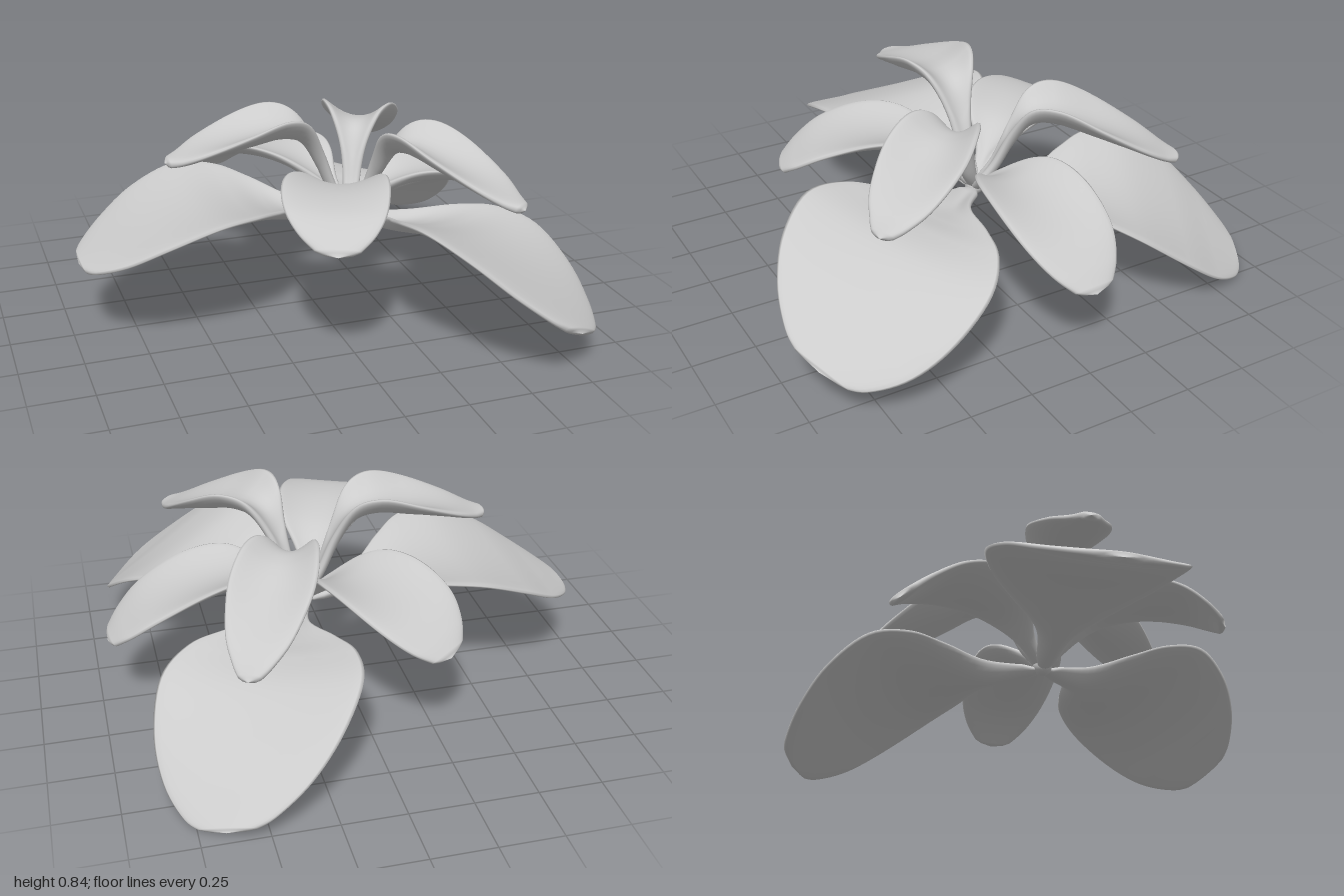
import * as THREE from 'three';
import { ParametricGeometry } from 'three/addons/geometries/ParametricGeometry.js';

const material = new THREE.MeshStandardMaterial({ color: 0xcccccc, side: THREE.DoubleSide });
const heart = new THREE.Vector3(0.16, 0, 0); // point where all petals meet

// Midrib of each petal kind: [distance from the heart, height, half width]; cup lifts both edges
const profile = (rows) => new THREE.CatmullRomCurve3(rows.map((p) => new THREE.Vector3(...p)), false, 'catmullrom', 0.5);
const fall = {
  cup: 0.1,
  reach: 1.1,
  rib: profile([[0, 0.37, 0.03], [0.22, 0.4, 0.08], [0.36, 0.44, 0.22], [0.48, 0.475, 0.33],
    [0.64, 0.49, 0.39], [0.82, 0.445, 0.36], [0.96, 0.38, 0.28], [1.06, 0.33, 0.17], [1.1, 0.31, 0.08]]),
};
const crest = {
  cup: 0.13,
  reach: 0.78,
  rib: profile([[0, 0.38, 0.03], [0.07, 0.48, 0.03], [0.13, 0.61, 0.05], [0.2, 0.72, 0.1],
    [0.3, 0.755, 0.145], [0.45, 0.74, 0.165], [0.62, 0.715, 0.13], [0.72, 0.69, 0.075], [0.78, 0.68, 0.03]]),
};
const inner = {
  cup: 0.1,
  reach: 0.77,
  rib: profile([[0, 0.38, 0.03], [0.1, 0.47, 0.045], [0.2, 0.55, 0.135], [0.3, 0.59, 0.185],
    [0.45, 0.61, 0.205], [0.6, 0.6, 0.19], [0.7, 0.56, 0.14], [0.77, 0.51, 0.06]]),
};

// droop lowers the tip, roll is the sideways slope at the tip, sway shifts the blade sideways
const petals = [
  { name: 'rightFall', kind: fall, angle: 180, length: 1.02, droop: 0, roll: 0, sway: 0 },
  { name: 'frontFall', kind: fall, angle: 59, length: 1, droop: 0.13, roll: -0.44, sway: 0.035 },
  { name: 'backFall', kind: fall, angle: -63, length: 0.99, droop: 0.285, roll: 0.22, sway: 0 },
  { name: 'rightCrest', kind: crest, angle: 180.5, length: 0.98, droop: 0, roll: 0, sway: 0 },
  { name: 'frontCrest', kind: crest, angle: 54.5, length: 1.02, droop: 0.11, roll: -0.1, sway: 0.01 },
  { name: 'backCrest', kind: crest, angle: -64, length: 1.05, droop: 0.2, roll: 0.05, sway: 0 },
  { name: 'frontInnerPetal', kind: inner, angle: 113.5, length: 1, droop: 0, roll: 0, sway: -0.03 },
  { name: 'backInnerPetal', kind: inner, angle: -122, length: 1.02, droop: 0.09, roll: 0.15, sway: 0 },
  { name: 'leftInnerPetal', kind: inner, angle: -3, length: 1.04, droop: 0.2, roll: 0, sway: 0 },
];

function petalGeometry({ kind, angle, length, droop, roll, sway }) {
  const a = THREE.MathUtils.degToRad(angle);
  const along = new THREE.Vector3(Math.cos(a), 0, Math.sin(a));
  const side = new THREE.Vector3(Math.sin(a), 0, -Math.cos(a));

  // Middle surface of the petal; s runs from -1 to 1 across it
  const surface = (v, s) => {
    const p = kind.rib.getPoint(v), t = p.x / kind.reach;
    const bulge = Math.sin(Math.PI * t);
    const across = p.z * s;
    const y = p.y + (roll * across - droop) * t + kind.cup * bulge * (1.1 - t) * s * s;
    return heart.clone().addScaledVector(along, p.x * length)
      .addScaledVector(side, across + sway * bulge).setY(y);
  };

  // Lens-shaped section swept along the petal, rounded off at both ends
  return new ParametricGeometry((u, v, target) => {
    const s = Math.cos(u * Math.PI * 2), h = Math.sin(u * Math.PI * 2);
    const end = Math.max(0.02, Math.min(1, Math.sqrt(30 * v * (1 - v))));
    const dv = surface(Math.min(1, v + 0.01), s).sub(surface(Math.max(0, v - 0.01), s));
    const ds = surface(v, s + 0.05).sub(surface(v, s - 0.05));
    const thick = 0.02 * end * Math.sign(h) * Math.pow(Math.abs(h), 0.7);
    target.copy(surface(v, s * end)).addScaledVector(dv.cross(ds).normalize(), thick);
  }, 28, 48);
}

export function createModel() {
  const flower = new THREE.Group();
  flower.name = 'flower';
  for (const petal of petals) {
    const mesh = new THREE.Mesh(petalGeometry(petal), material);
    mesh.name = petal.name;
    flower.add(mesh);
  }

  // Small core joining the petal bases
  const core = new THREE.Mesh(new THREE.SphereGeometry(0.04, 20, 14), material);
  core.name = 'core';
  core.position.set(heart.x, 0.385, heart.z);
  flower.add(core);
  return flower;
}
